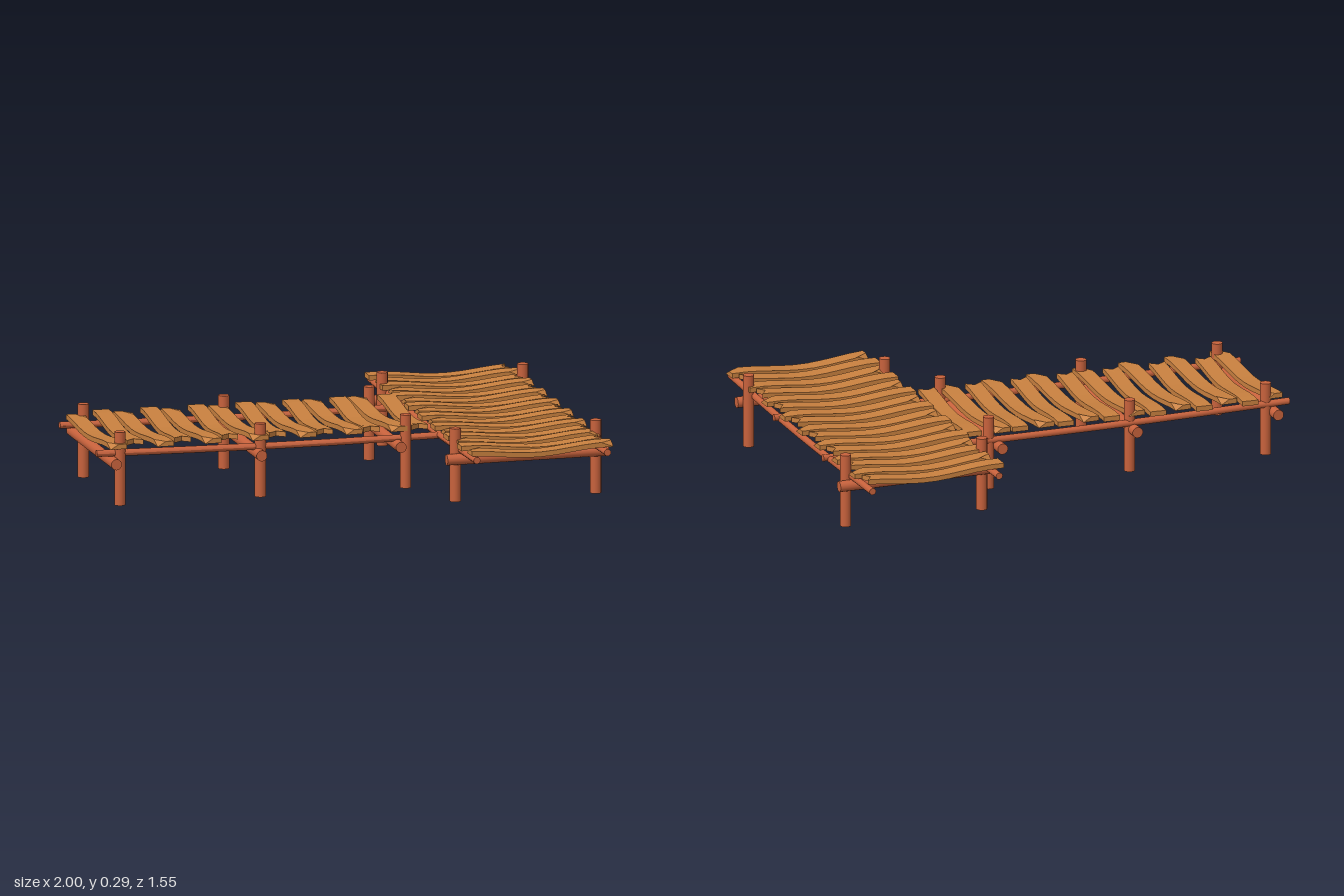
import * as THREE from 'three';

const logMat = new THREE.MeshStandardMaterial({ color: 0xc8623c });
const plankMat = new THREE.MeshStandardMaterial({ color: 0xc8803f, flatShading: true });

// Straight round log between two points
function log(name, a, b, radius) {
  const from = new THREE.Vector3(...a), to = new THREE.Vector3(...b);
  const dir = to.clone().sub(from);
  const mesh = new THREE.Mesh(new THREE.CylinderGeometry(radius, radius, dir.length(), 14), logMat);
  mesh.position.copy(from).add(to).multiplyScalar(0.5);
  mesh.quaternion.setFromUnitVectors(new THREE.Vector3(0, 1, 0), dir.normalize());
  mesh.name = name;
  return mesh;
}

// Long log that sags a little in the middle
function stringer(name, a, b) {
  const from = new THREE.Vector3(...a), to = new THREE.Vector3(...b);
  const length = from.distanceTo(to), radius = 0.014, segments = 10;
  const geo = new THREE.CylinderGeometry(radius, radius, length, 12, segments);
  const p = geo.attributes.position;
  geo.rotateZ(Math.PI / 2);
  for (let i = 0; i < p.count; i++) {
    const t = p.getX(i) / length;
    p.setY(i, p.getY(i) - 0.012 * Math.cos(Math.PI * t));
  }
  geo.computeVertexNormals();
  const mesh = new THREE.Mesh(geo, logMat);
  mesh.position.copy(from).add(to).multiplyScalar(0.5);
  mesh.rotation.y = -Math.atan2(to.z - from.z, to.x - from.x);
  mesh.name = name;
  return mesh;
}

// Warped plank along x, with split corners or a notched end
function plankGeometry(length, width, split) {
  const geo = new THREE.BoxGeometry(length, 0.02, width, 10, 1, 2);
  const p = geo.attributes.position;
  for (let i = 0; i < p.count; i++) {
    let x = p.getX(i);
    const y = p.getY(i), z = p.getZ(i);
    const s = split ? 0.5 - x / length : 0.5 + x / length;
    const wave = 0.011 * Math.cos(2 * Math.PI * (s - 0.05));
    const end = Math.abs(x) > length * 0.49 ? Math.sign(x) : 0;
    if (split && end && y > 0 && z * end > 0.001) x -= end * 0.05;
    if (!split && end > 0 && Math.abs(z) < 0.001) x -= 0.025;
    p.setXYZ(i, x, y + wave, z);
  }
  geo.computeVertexNormals();
  return geo;
}

export function createModel() {
  const model = new THREE.Group();
  model.name = 'woodenDock';
  const walkway = new THREE.Group(), platform = new THREE.Group();
  walkway.name = 'walkway';
  platform.name = 'platform';
  model.add(walkway, platform);

  // Walkway posts with the cross beams beside them
  [[-0.905, -0.935], [-0.33, -0.34], [0.265, 0.23]].forEach(([x, beamX]) => {
    for (const z of [0.235, -0.295]) walkway.add(log('walkwayPost', [x, 0, z], [x, 0.295, z], 0.022));
    walkway.add(log('walkwayCrossBeam', [beamX, 0.175, -0.36], [beamX, 0.175, 0.295], 0.022));
  });
  for (const z of [0.23, -0.305]) {
    walkway.add(stringer('walkwayStringer', [-1, 0.211, z], [0.97, 0.211, z]));
  }

  // Platform posts, cross beams and stringers
  for (const side of [-1, 1]) {
    for (const x of [0.385, 0.96]) {
      platform.add(log('platformPost', [x, 0, side * 0.53], [x, 0.295, side * 0.53], 0.022));
    }
    platform.add(log('platformCrossBeam', [0.34, 0.175, side * 0.56], [1, 0.175, side * 0.56], 0.022));
  }
  for (const x of [0.405, 0.94]) {
    platform.add(stringer('platformStringer', [x, 0.214, -0.775], [x, 0.214, 0.775]));
  }

  const notched = plankGeometry(0.575, 0.066, false);
  const splitEnds = plankGeometry(0.585, 0.066, true);
  const addPlank = (group, name, isSplit, x, z, turn) => {
    const plank = new THREE.Mesh(isSplit ? splitEnds : notched, plankMat);
    plank.name = name;
    plank.position.set(x, 0.231, z);
    plank.rotation.y = turn;
    group.add(plank);
  };

  // Walkway planks, alternately tilted; the notched ones drift towards the front
  [-0.928, -0.825, -0.735, -0.632, -0.54, -0.44, -0.345, -0.247, -0.15, -0.055, 0.04, 0.135, 0.225, 0.33]
    .forEach((x, i) => {
      const isSplit = i % 2 === 0;
      const z = isSplit ? -0.022 - i * 0.001 : -0.08 + i * 0.003;
      addPlank(walkway, 'walkwayPlank', isSplit, x, z, -Math.PI / 2 + (isSplit ? 0.03 : -0.035));
    });

  // Platform planks, alternately straight and tilted
  for (let i = 0; i < 16; i++) {
    const isSplit = i % 2 === 1;
    const z = -0.702 + i * 0.0957 - (isSplit ? 0.006 : 0);
    addPlank(platform, 'platformPlank', isSplit, isSplit ? 0.677 : 0.658, z, isSplit ? 0.03 : 0);
  }
  return model;
}
